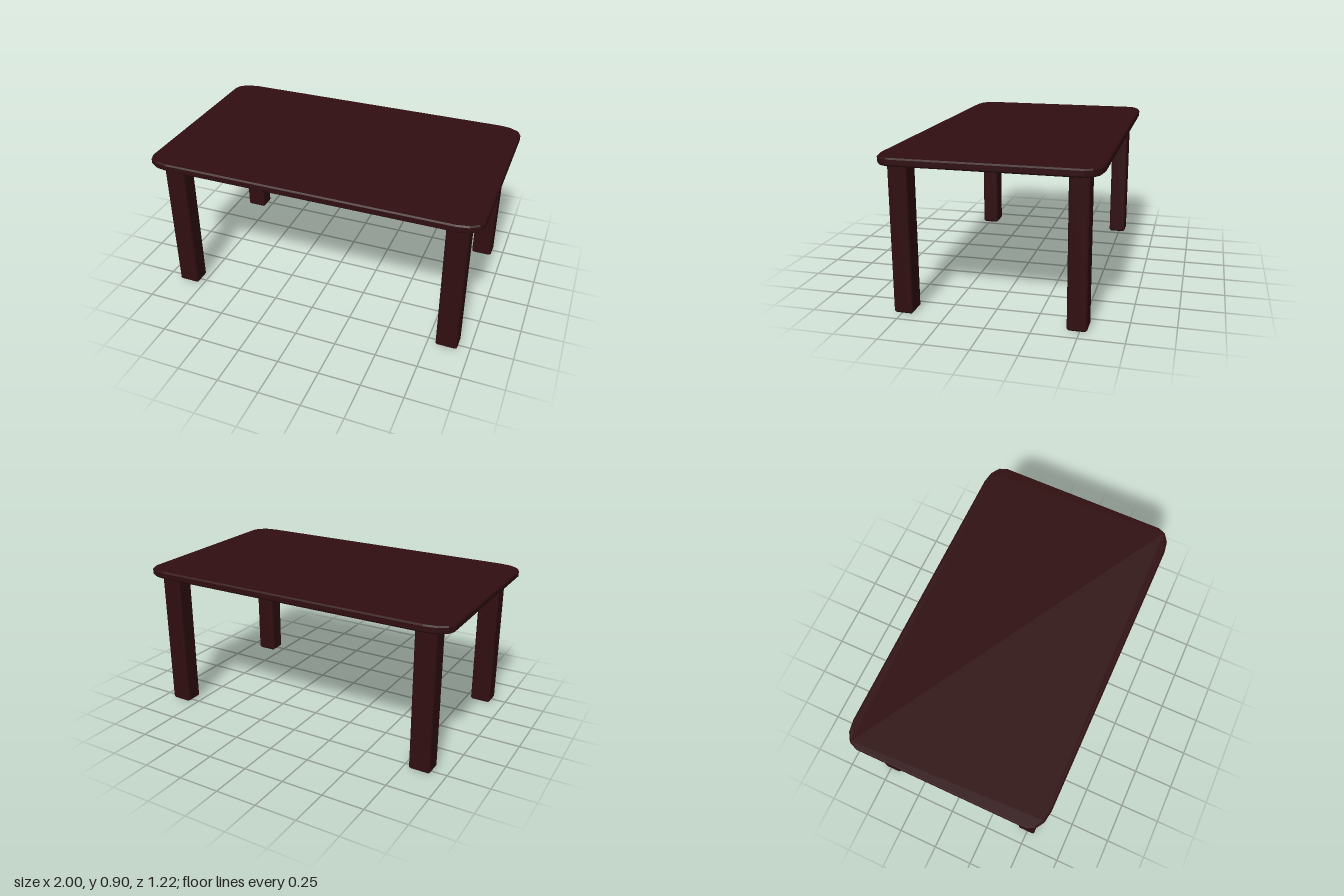
import * as THREE from 'three';

// Upright slab with elliptical corners and a chamfered rim, standing on y = 0
function bevelledSlab(halfX, halfZ, height, rx, rz, cornerSteps, bevel) {
  const points = [];
  const signs = [[1, 1], [-1, 1], [-1, -1], [1, -1]];
  signs.forEach(([sx, sz], corner) => {
    for (let i = 0; i <= cornerSteps; i++) {
      const a = (corner + i / cornerSteps) * Math.PI / 2;
      points.push(new THREE.Vector2(
        sx * (halfX - rx) + rx * Math.cos(a),
        sz * (halfZ - rz) + rz * Math.sin(a)));
    }
  });
  const geometry = new THREE.ExtrudeGeometry(new THREE.Shape(points), {
    depth: height - 2 * bevel,
    bevelEnabled: true,
    bevelThickness: bevel,
    bevelSize: bevel,
    bevelOffset: -bevel,
    bevelSegments: 1,
  });
  geometry.translate(0, 0, bevel);
  geometry.rotateX(-Math.PI / 2);
  return geometry;
}

export function createModel() {
  const table = new THREE.Group();
  table.name = 'table';
  const wood = new THREE.MeshStandardMaterial({ color: 0x300e10 });
  wood.name = 'dark red wood';

  // Table top
  const top = new THREE.Mesh(bevelledSlab(1, 0.608, 0.045, 0.14, 0.09, 3, 0.008), wood);
  top.name = 'tableTop';
  top.position.y = 0.855;
  table.add(top);

  // Four legs, set slightly off centre and reaching into the top
  const legGeometry = bevelledSlab(0.064, 0.055, 0.872, 0.012, 0.012, 2, 0.01);
  for (const [x, side] of [[0.864, 'Left'], [-0.848, 'Right']]) {
    for (const [z, end] of [[0.491, 'front'], [-0.485, 'back']]) {
      const leg = new THREE.Mesh(legGeometry, wood);
      leg.name = `${end}${side}Leg`;
      leg.position.set(x, 0, z);
      table.add(leg);
    }
  }
  return table;
}
